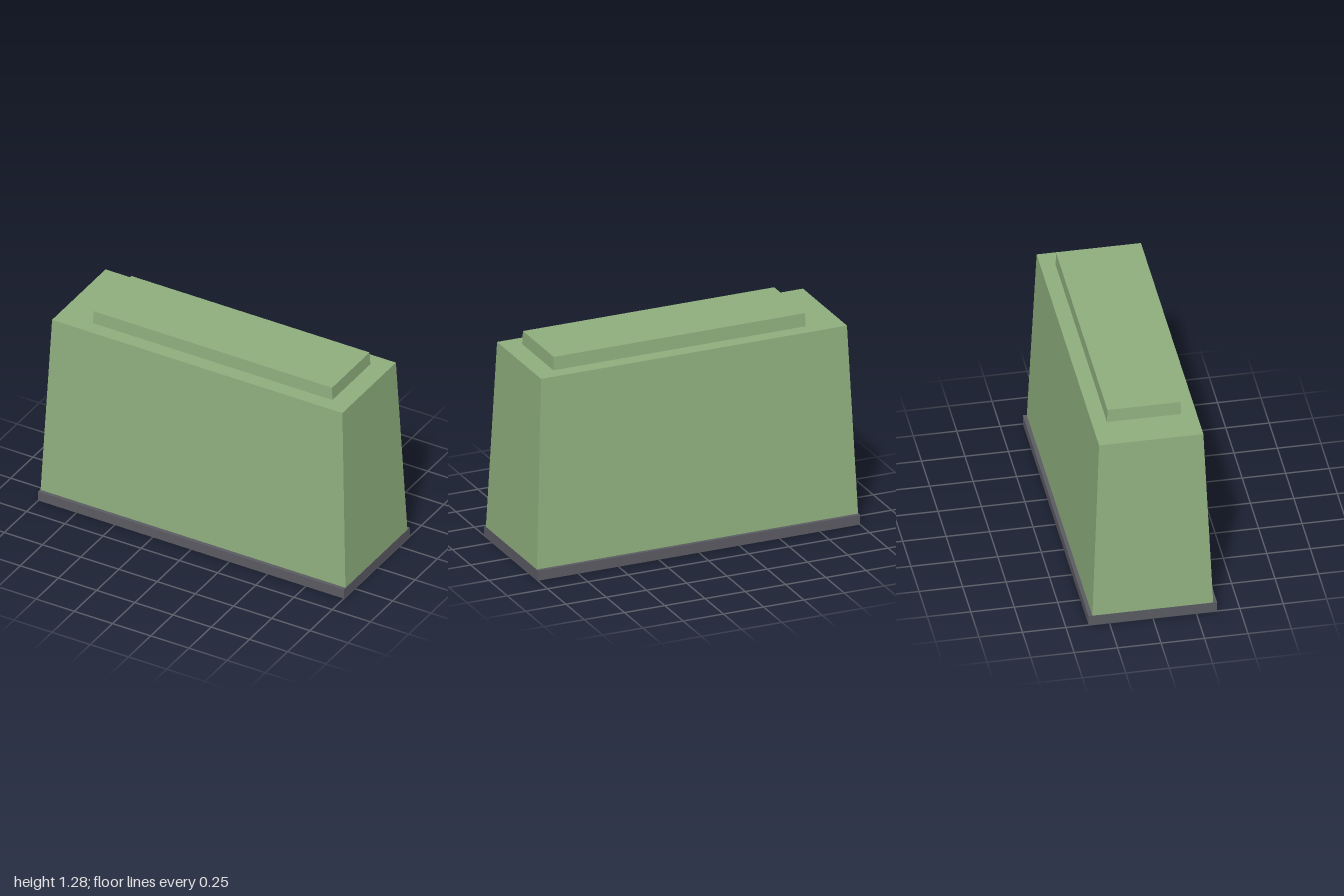
import * as THREE from 'three';

const green = new THREE.MeshStandardMaterial({ color: 0x8fae7e, flatShading: true });
const darkGrey = new THREE.MeshStandardMaterial({ color: 0x5a5a62, flatShading: true });

// Box between heights y0 and y1 whose footprint [width, depth] narrows from bottom to top
function taperedBox(name, material, y0, y1, bottom, top, x = 0) {
  const geometry = new THREE.BoxGeometry(1, y1 - y0, 1);
  const p = geometry.attributes.position;
  for (let i = 0; i < p.count; i++) {
    const size = p.getY(i) > 0 ? top : bottom;
    p.setX(i, p.getX(i) * size[0]);
    p.setZ(i, p.getZ(i) * size[1]);
  }
  geometry.computeVertexNormals();
  const mesh = new THREE.Mesh(geometry, material);
  mesh.name = name;
  mesh.position.set(x, (y0 + y1) / 2, 0);
  return mesh;
}

export function createModel() {
  const group = new THREE.Group();
  group.name = 'taperedBlock';

  // Flat plinth
  group.add(taperedBox('base', darkGrey, 0, 0.06, [2, 0.74], [2, 0.74]));
  // Main body with slightly leaning walls
  group.add(taperedBox('body', green, 0.06, 1.2, [1.995, 0.695], [1.9, 0.6]));
  // Raised top panel, set a little to the left
  group.add(taperedBox('topPanel', green, 1.2, 1.28, [1.567, 0.427], [1.56, 0.42], 0.05));

  return group;
}
